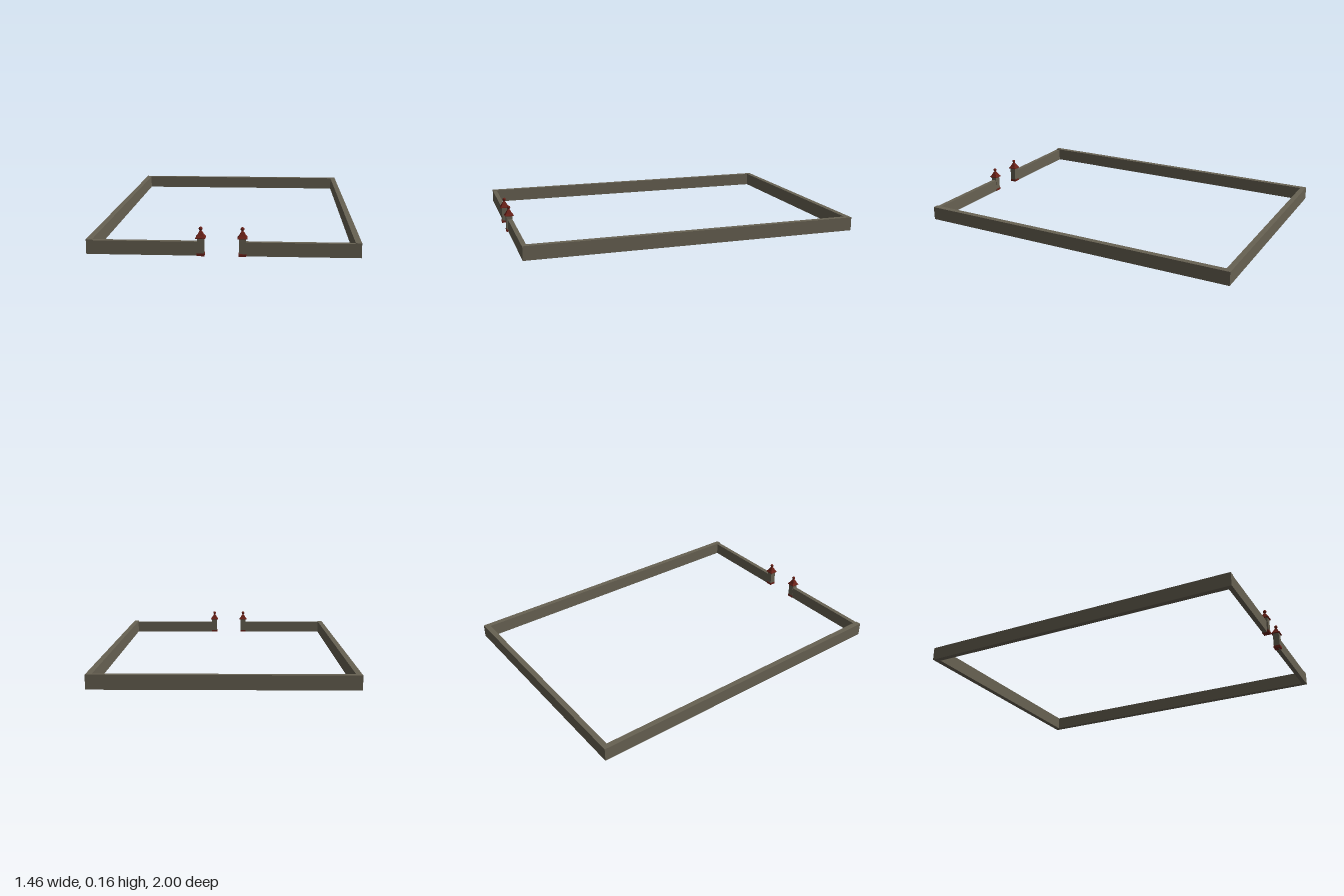
import * as THREE from 'three';

const stone = new THREE.MeshStandardMaterial({ name: 'grey stone', color: 0x676152 });
const red = new THREE.MeshStandardMaterial({ name: 'dark red tile', color: 0x6a2118, flatShading: true });

function box(name, mat, x0, x1, y0, y1, z0, z1) {
  const m = new THREE.Mesh(new THREE.BoxGeometry(x1 - x0, y1 - y0, z1 - z0), mat);
  m.position.set((x0 + x1) / 2, (y0 + y1) / 2, (z0 + z1) / 2);
  m.name = name;
  return m;
}

// Square gate post with a red plinth, flared roof and round finial
function gatePost(name) {
  const post = new THREE.Group();
  post.name = name;
  const s = 0.0185, p = 0.0205;
  post.add(box('plinth', red, -p, p, 0, 0.014, -p, p));
  post.add(box('shaft', stone, -s, s, 0.014, 0.098, -s, s));

  // Four-sided roof, square to the walls
  const profile = [[0, 0.096], [0.037, 0.096], [0.037, 0.1], [0.026, 0.11], [0.015, 0.125], [0.005, 0.137], [0, 0.139]]
    .map(([r, y]) => new THREE.Vector2(r, y));
  const roof = new THREE.Mesh(new THREE.LatheGeometry(profile, 4, Math.PI / 4), red);
  roof.name = 'roof';
  post.add(roof);

  const finial = new THREE.Mesh(new THREE.SphereGeometry(0.0105, 10, 8), red);
  finial.name = 'finial';
  finial.position.y = 0.146;
  post.add(finial);
  return post;
}

export function createModel() {
  const model = new THREE.Group();
  model.name = 'walledEnclosure';
  const X = 0.732, T = 0.033, H = 0.081, backZ = -1, frontZ = 0.983;

  // Back and side walls
  model.add(box('backWall', stone, -X + T, X - T, 0, H, backZ, backZ + T));
  model.add(box('rightWall', stone, -X, -X + T, 0, H, backZ, frontZ));
  model.add(box('leftWall', stone, X - T, X, 0, H, backZ, frontZ));

  // Slightly lower front walls on either side of the gateway
  const posts = { right: -0.117, left: 0.105 };
  model.add(box('frontWallRight', stone, -X + T, posts.right, 0, 0.076, 0.956, frontZ));
  model.add(box('frontWallLeft', stone, posts.left, X - T, 0, 0.076, 0.956, frontZ));

  // Gate posts
  for (const [side, x] of Object.entries(posts)) {
    const post = gatePost(side + 'GatePost');
    post.position.set(x, 0, 0.973);
    model.add(post);
  }
  return model;
}
